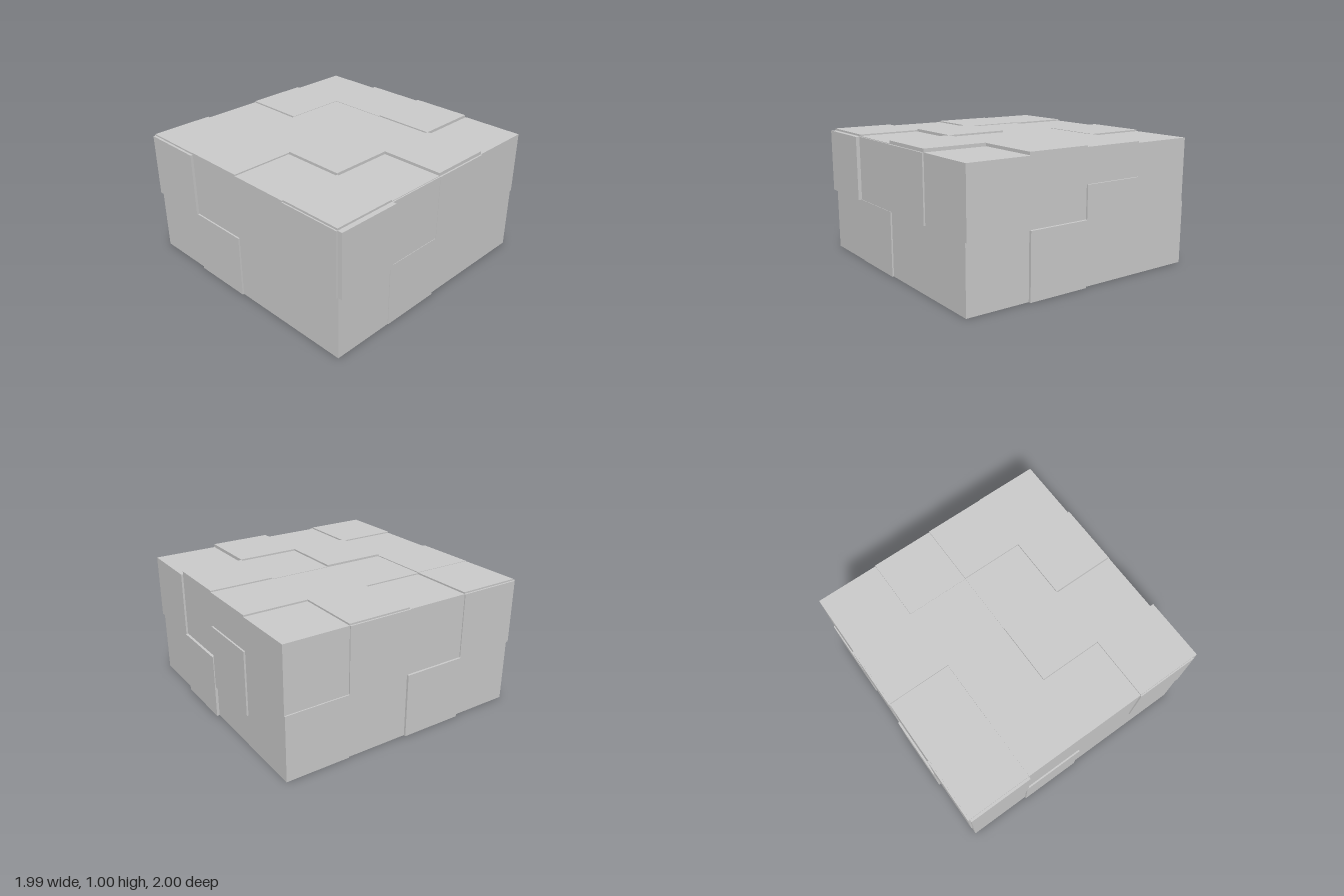
import * as THREE from 'three';

// Core block limits and the side of one square panel cell
const X0 = -0.976, X1 = 0.97, Z0 = -0.983, Z1 = 0.963, TOP = 0.973;
const CELL = (X1 - X0) / 4;

export function createModel() {
  const model = new THREE.Group();
  const material = new THREE.MeshStandardMaterial({ color: 0xcccccc, flatShading: true });

  // Box given by its lower and upper corners
  const block = (name, lo, hi) => {
    const size = hi.map((v, i) => v - lo[i]);
    const mesh = new THREE.Mesh(new THREE.BoxGeometry(...size), material);
    mesh.position.set(...lo.map((v, i) => v + size[i] / 2));
    mesh.name = name;
    model.add(mesh);
  };

  block('coreBlock', [X0, 0, Z0], [X1, TOP, Z1]);

  // Top panels: thickness by row (back to front) and column (left to right)
  const top = [
    [0.012, 0, 0.012, 0],
    [0.015, 0.009, 0.009, 0.012],
    [0.005, 0.025, 0.012, 0.022],
    [0.015, 0.004, 0.025, 0],
  ];
  top.forEach((row, r) => row.forEach((t, c) => {
    const x = X0 + c * CELL, z = Z0 + r * CELL;
    if (t) block('topPanel', [x, TOP, z], [x + CELL, TOP + t, z + CELL]);
  }));

  // Front and back panels: lower row, then upper row
  const front = [[0.007, 0.012, 0, 0], [0.037, 0.009, 0.012, 0]];
  const back = [[0, 0.021, 0.004, 0.012], [0.013, 0.005, 0.012, 0.003]];
  for (let r = 0; r < 2; r++) {
    for (let c = 0; c < 4; c++) {
      const x = X0 + c * CELL, y = r * CELL, f = front[r][c], b = back[r][c];
      if (f) block('frontPanel', [x, y, Z1], [x + CELL, y + CELL, Z1 + f]);
      if (b) block('backPanel', [x, y, Z0 - b], [x + CELL, y + CELL, Z0]);
    }
  }

  // Side panels: cell along z, cell height, thickness
  const left = [[3, 1, 0.015], [2, 0, 0.02], [1, 0.5, 0.013]];
  const right = [[0, 1, 0.019], [1, 0, 0.012], [3, 1, 0.01]];
  for (const [k, row, t] of left) {
    const z = Z0 + k * CELL, y = row * CELL;
    block('leftPanel', [X1, y, z], [X1 + t, y + CELL, z + CELL]);
  }
  for (const [k, row, t] of right) {
    const z = Z0 + k * CELL, y = row * CELL;
    block('rightPanel', [X0 - t, y, z], [X0, y + CELL, z + CELL]);
  }
  return model;
}
